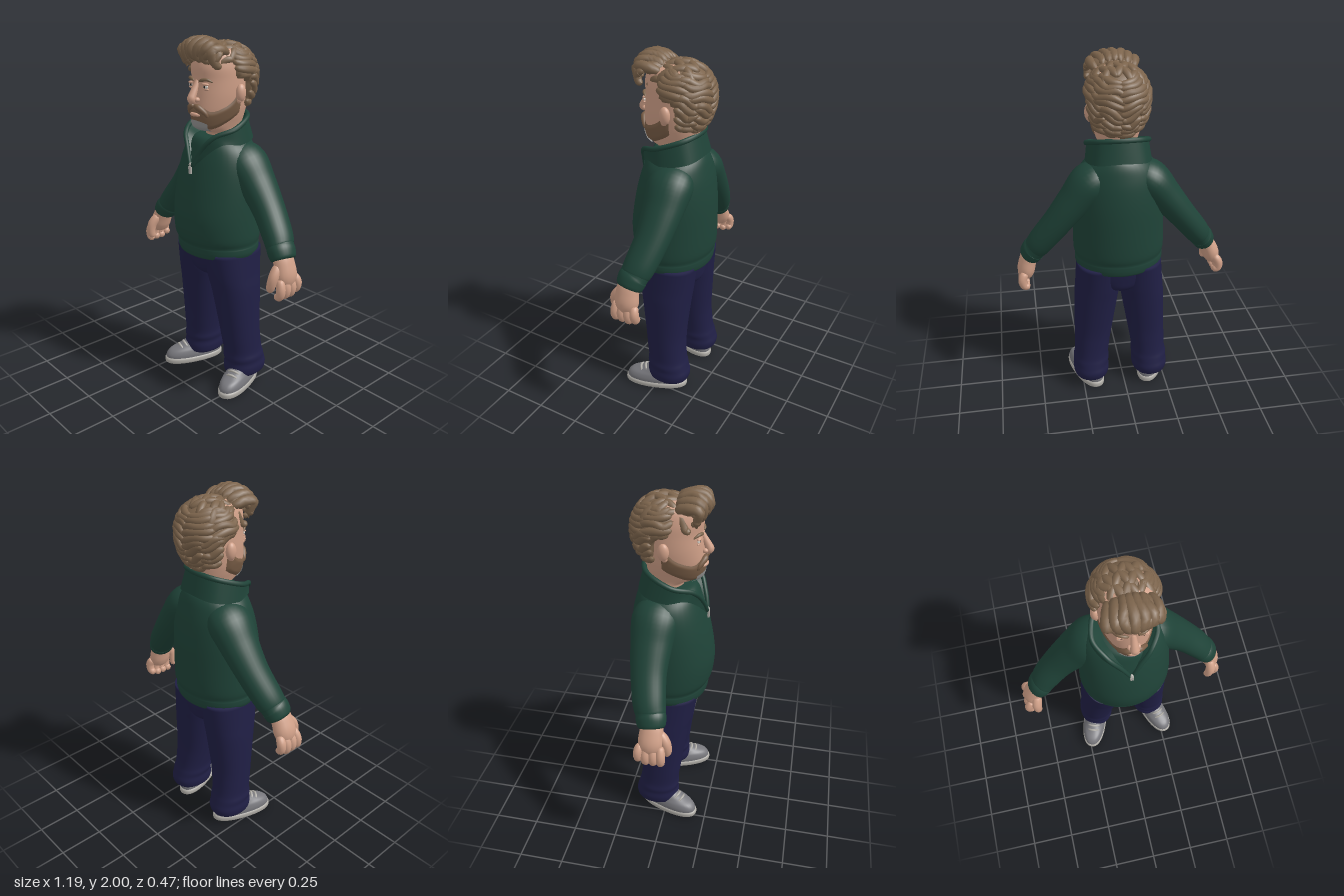
import * as THREE from 'three';

const mat = (name, color) => new THREE.MeshStandardMaterial({ name, color, side: THREE.DoubleSide });
const V = (x, y, z) => new THREE.Vector3(x, y, z);
const rad = THREE.MathUtils.degToRad;

// Smooth interpolation through rows of numbers, t in 0..1
function spline(rows, t) {
  const n = rows.length - 1, f = Math.min(Math.max(t, 0), 1) * n;
  const i = Math.min(Math.floor(f), n - 1), w = f - i;
  const [a, b, c, d] = [-1, 0, 1, 2].map(k => rows[Math.min(Math.max(i + k, 0), n)]);
  return b.map((p, k) => p + 0.5 * w * (c[k] - a[k] + w * (2 * a[k] - 5 * p + 4 * c[k] - d[k] + w * (3 * (p - c[k]) + d[k] - a[k]))));
}

// Smooth surface from fn(u, v) -> Vector3, optionally closed in u
function grid(nu, nv, fn, wrap = true) {
  const pos = [], idx = [], w = wrap ? nu : nu + 1;
  for (let j = 0; j <= nv; j++) for (let i = 0; i < w; i++) pos.push(...fn(i / nu, j / nv).toArray());
  for (let j = 0; j < nv; j++) for (let i = 0; i < nu; i++) {
    const a = j * w + i, b = j * w + (i + 1) % w;
    idx.push(a, b, b + w, a, b + w, a + w);
  }
  const g = new THREE.BufferGeometry();
  g.setAttribute('position', new THREE.Float32BufferAttribute(pos, 3));
  g.setIndex(idx);
  g.computeVertexNormals();
  return g;
}

// Stacked oval rings; row = [y, centreX, halfWidth, zFront, zBack]
function loft(rows, n = 40, power = 2) {
  const bend = c => Math.sign(c) * Math.abs(c) ** (2 / power);
  return grid(40, n + 2, (u, v) => {
    const k = v > 1e-6 && v < 1 - 1e-6 ? 1 : 0, a = u * Math.PI * 2;
    const [y, cx, rx, zf, zb] = spline(rows, (v * (n + 2) - 1) / n);
    return V(cx + k * rx * bend(Math.sin(a)), y, (zf + zb) / 2 + k * (zf - zb) / 2 * bend(Math.cos(a)));
  });
}

// Round limb or lock along points [x, y, z, radius]; flat scales the radius towards ref
function sweep(pts, { ref = V(0, 0, 1), flat = 1, round = 6, nu = 16, nv = 20 } = {}) {
  const at = t => V(...spline(pts, t));
  return grid(nu, nv, (u, v) => {
    const P = at(v), T = at(v + 0.01).sub(at(v - 0.01)).normalize();
    const N = ref.clone().addScaledVector(T, -ref.dot(T)).normalize(), B = T.clone().cross(N);
    const r = spline(pts, v)[3] * Math.sqrt(Math.max(0, 1 - Math.abs(2 * v - 1) ** round)), a = u * Math.PI * 2;
    return P.addScaledVector(N, r * flat * Math.cos(a)).addScaledVector(B, r * Math.sin(a));
  });
}

// Head profile: [y, halfWidth, zFront, zBack]
const HEAD = [[1.4, .088, .05, -.13], [1.5, .088, .065, -.13], [1.515, .09, .12, -.13], [1.535, .097, .15, -.14],
  [1.58, .113, .162, -.15], [1.63, .127, .165, -.16], [1.7, .136, .16, -.165], [1.78, .137, .153, -.165],
  [1.85, .134, .156, -.16], [1.92, .115, .13, -.14], [1.95, .06, .06, -.08]];
function headPoint(a, y, off = 0) {
  let i = 0;
  while (i < HEAD.length - 2 && HEAD[i + 1][0] < y) i++;
  const t = (i + (y - HEAD[i][0]) / (HEAD[i + 1][0] - HEAD[i][0])) / (HEAD.length - 1);
  const [, rx, zf, zb] = spline(HEAD, t), c = Math.cos(a);
  return V((rx + off) * Math.sin(a), y, -.02 + c * (c > 0 ? zf + .02 + off : -.02 - zb + off));
}

// Point on the hair dome
const HC = V(0, 1.79, -.045);
const domePoint = (a, lat) => V(.165 * Math.cos(lat) * Math.sin(a), (lat > 0 ? .165 : .22) * Math.sin(lat), .17 * Math.cos(lat) * Math.cos(a)).add(HC);

export function createModel() {
  const skin = mat('skin', 0xd0a088), hair = mat('hair', 0x7c644c), beard = mat('beard', 0x7a5e47);
  const grey = mat('grey beard', 0x969594), green = mat('sweater green', 0x1f4338), navy = mat('trouser navy', 0x201f45);
  const shoeGrey = mat('shoe grey', 0x77777c), pale = mat('pale grey', 0xb0ada7);
  const white = mat('eye white', 0xe4ded4), dark = mat('pupil dark', 0x2c2420);
  const root = new THREE.Group();
  root.name = 'man';
  const body = new THREE.Group();
  body.name = 'body';
  body.position.x = .018;
  root.add(body);
  const add = (parent, name, geo, m) => {
    const mesh = new THREE.Mesh(geo, m);
    mesh.name = name;
    parent.add(mesh);
    return mesh;
  };
  const ball = (parent, name, m, p, s) => {
    const b = add(parent, name, new THREE.SphereGeometry(1, 20, 14), m);
    b.position.set(...p);
    b.scale.set(...s);
    return b;
  };

  // Sweater body with hem band
  add(body, 'sweater', loft([[.81, 0, .215, .17, -.185], [.815, 0, .238, .196, -.208], [.84, 0, .25, .204, -.216], [.868, 0, .251, .206, -.218],
    [.885, 0, .249, .207, -.218], [.93, 0, .257, .226, -.228], [1.05, 0, .256, .235, -.231], [1.2, 0, .25, .212, -.228],
    [1.32, 0, .237, .182, -.215], [1.4, 0, .212, .156, -.197], [1.45, 0, .172, .137, -.18], [1.475, 0, .13, .11, -.16], [1.48, 0, .08, .06, -.12]], 60), green);

  // Open flared collar
  const around = half => [...half, ...half.slice(0, -1).reverse().map(([x, y, z, r]) => [-x, y, z, r])];
  const rim = around([[.004, 1.32, .19, .011], [.05, 1.41, .168, .012], [.115, 1.49, .125, .013], [.168, 1.53, .02, .014], [.12, 1.578, -.11, .014], [0, 1.592, -.15, .014]]);
  const base = around([[.012, 1.31, .18], [.08, 1.39, .15], [.15, 1.45, .09], [.18, 1.44, -.02], [.13, 1.46, -.145], [0, 1.475, -.18]]);
  const inner = around([[.004, 1.32, .165], [.035, 1.4, .135], [.07, 1.46, .09], [.1, 1.465, -.02], [.09, 1.5, -.1], [0, 1.51, -.12]]);
  const strip = (p, q) => grid(6, 60, (u, v) => V(...spline(p, v)).lerp(V(...spline(q, v)), u), false);
  add(body, 'collarOutside', strip(base, rim), green);
  add(body, 'collarInside', strip(rim, inner), green);
  add(body, 'collarEdge', sweep(rim, { ref: V(0, 1, 0), round: 40, nu: 10, nv: 70 }), green);
  const zip = add(body, 'zipPull', new THREE.BoxGeometry(.018, .04, .012), pale);
  zip.position.set(0, 1.305, .194);
  ball(body, 'zipSlider', pale, [0, 1.335, .19], [.012, .012, .01]);

  // Trouser seat
  add(body, 'trouserSeat', loft([[.66, 0, .04, .06, -.11], [.7, 0, .14, .125, -.165], [.76, 0, .225, .152, -.18], [.85, 0, .242, .168, -.19]], 20), navy);

  for (const s of [1, -1]) {
    const side = s > 0 ? 'left' : 'right';
    // Sleeve with cuff
    const arm = [[.09, 1.375, -.055, .085], [.165, 1.335, -.06, .105], [.25, 1.235, -.065, .092], [.345, 1.115, -.06, .079], [.43, 1.005, -.04, .073],
      [.462, .96, -.027, .068], [.472, .947, -.024, .065], [.485, .93, -.018, .067], [.512, .885, -.01, .06]];
    add(body, side + 'Sleeve', sweep(arm.map(([x, ...p]) => [s * x, ...p]), { flat: 1.22, round: 40, nu: 28, nv: 48 }), green);

    // Hand, built around the wrist
    const hand = new THREE.Group();
    hand.name = side + 'Hand';
    hand.position.set(s * .51, .9, -.01);
    hand.rotation.z = -.1;
    body.add(hand);
    const limb = (name, pts, o) => add(hand, name, sweep(pts.map(([x, y, z, r]) => [s * (x - .51), y - .9, z + .01, r]), o), skin);
    limb('palm', [[.495, .925, -.01, .044], [.52, .87, -.008, .048], [.54, .81, -.008, .05], [.548, .755, -.005, .036]], { flat: 1.35, round: 8 });
    for (let k = 0; k < 4; k++) {
      const z = .045 - k * .035, e = k === 3 ? .015 : 0;
      limb('finger', [[.548, .81, z, .024], [.57, .755 + e, z * 1.15, .025], [.565, .715 + e, z * 1.15, .023], [.535, .705 + e, z * 1.1, .02]]);
    }
    limb('thumb', [[.515, .875, .03, .028], [.525, .82, .068, .028], [.522, .77, .078, .025], [.512, .73, .072, .021]]);

    // Trouser leg with gathered bottom
    const leg = [[.065, .18, .085, .05, -.165], [.08, .18, .102, .066, -.18], [.115, .18, .107, .071, -.187], [.15, .179, .103, .066, -.178],
      [.18, .177, .106, .07, -.17], [.22, .174, .101, .068, -.16], [.3, .167, .105, .078, -.152], [.4, .157, .112, .09, -.15],
      [.6, .137, .126, .12, -.165], [.7, .124, .13, .142, -.175], [.84, .115, .128, .163, -.188]];
    add(body, side + 'TrouserLeg', loft(leg.map(([y, x, ...p]) => [y, s * x, ...p]), 50, 2.2), navy);

    // Shoe turned outwards
    const shoe = new THREE.Group();
    shoe.name = side + 'Shoe';
    shoe.position.set(s * .203, 0, .01);
    shoe.rotation.y = s * rad(19);
    body.add(shoe);
    add(shoe, 'sole', loft([[0, 0, .069, .184, -.172], [.008, 0, .076, .193, -.18], [.028, 0, .077, .194, -.18], [.038, 0, .071, .186, -.174]], 10, 2.3), pale);
    add(shoe, 'upper', loft([[.03, 0, .071, .186, -.172], [.055, 0, .072, .183, -.172], [.08, 0, .066, .16, -.165], [.1, 0, .057, .11, -.155],
      [.125, 0, .05, .055, -.145], [.15, 0, .045, .03, -.13]], 24, 2.3), shoeGrey);
    for (let k = 0; k < 3; k++) {
      const z = .1 - k * .028, y = .107 + k * .012;
      add(shoe, 'lace', sweep([[-.04, y - .02, z - .012, .006], [-.012, y, z, .007], [.015, y, z, .007], [.042, y - .02, z - .012, .006]], { nu: 8, nv: 10 }), pale);
    }
  }

  // Head and neck
  const head = new THREE.Group();
  head.name = 'head';
  head.position.x = .01;
  body.add(head);
  add(head, 'face', grid(48, 50, (u, v) => headPoint(u * Math.PI * 2, 1.4 + .55 * v)), skin);
  add(head, 'nose', sweep([[0, 1.785, .14, .014], [0, 1.75, .156, .016], [0, 1.705, .18, .021], [0, 1.683, .187, .023], [0, 1.67, .165, .018]]), skin);

  // Beard laid over the jaw, bounded above and below by angle
  const beardTop = [[1.655], [1.648], [1.625], [1.64], [1.68], [1.77]];
  const beardLow = [[1.512], [1.514], [1.52], [1.535], [1.565], [1.6]];
  add(head, 'beard', grid(60, 16, (u, v) => {
    const k = Math.abs(2 * u - 1), lo = spline(beardLow, k)[0], hi = spline(beardTop, k)[0];
    const edge = Math.min(1, 5 * Math.min(v, 1 - v), 8 * (1 - k));
    return headPoint((2 * u - 1) * rad(100), lo + (hi - lo) * v, -.002 + .01 * edge);
  }, false), beard);
  add(head, 'chinPatch', grid(16, 8, (u, v) => {
    const k = Math.abs(2 * u - 1);
    return headPoint((2 * u - 1) * rad(34), 1.513 + (.062 - .02 * k * k) * v, .012);
  }, false), grey);
  add(head, 'lowerLip', sweep([[-.042, 1.6, .152, .007], [-.015, 1.604, .172, .01], [.015, 1.604, .172, .01], [.042, 1.6, .152, .007]], { round: 4 }), skin);

  for (const s of [1, -1]) {
    add(head, 'moustache', sweep([[s * .002, 1.65, .172, .013], [s * .03, 1.642, .168, .017], [s * .06, 1.615, .148, .013], [s * .07, 1.59, .138, .008]], { round: 4 }), beard);
    ball(head, 'nostril', skin, [s * .02, 1.682, .167], [.014, .013, .016]);
    const e = headPoint(s * rad(23), 1.75);
    ball(head, 'eye', white, [e.x, e.y, e.z - .002], [.021, .012, .008]);
    ball(head, 'pupil', dark, [e.x, e.y, e.z + .004], [.007, .008, .004]);
    ball(head, 'eyelid', skin, [e.x, e.y + .011, e.z - .001], [.025, .008, .012]);
    ball(head, 'eyeBag', skin, [e.x, e.y - .014, e.z - .003], [.024, .007, .009]);
    add(head, 'eyebrow', sweep([[s * .02, 1.776, .153, .007], [s * .045, 1.784, .15, .009], [s * .07, 1.785, .138, .008], [s * .09, 1.772, .118, .005]], { round: 4 }), hair);
    ball(head, 'ear', skin, [s * .145, 1.712, -.025], [.024, .047, .03]);
    ball(head, 'earLobe', skin, [s * .14, 1.675, -.018], [.016, .018, .016]);
  }

  // Hair dome, tucked under the face in front of the hairline
  const step = THREE.MathUtils.smoothstep;
  add(head, 'hairDome', grid(48, 36, (u, v) => {
    const p = domePoint(u * Math.PI * 2, (v - .5) * Math.PI);
    const line = -.045 + .095 * step(p.y, 1.76, 1.8) + .2 * step(p.y, 1.86, 1.9);
    return p.sub(HC).multiplyScalar(1 - .35 * step(p.z, line, line + .025)).add(HC);
  }), hair);
  ball(head, 'fringeBase', hair, [0, 1.925, .09], [.125, .05, .085]);

  let seed = 7;
  const jit = k => { seed = (seed * 16807) % 2147483647; return (seed / 2147483647 * 2 - 1) * k; };
  const lock = (pts, round = 3) => {
    const m = pts[Math.floor(pts.length / 2)];
    add(head, 'hairLock', sweep(pts, { ref: V(m[0], m[1] - HC.y, m[2] - HC.z).normalize(), flat: .85, round, nu: 10, nv: 16 }), hair);
  };
  // Locks combed back along the sides
  for (const s of [1, -1]) for (let i = 0; i < 10; i++) {
    const lat = 60 - i * 10.5, start = lat > 8 ? 58 + i * 2 : 103, span = 182 - start;
    for (let k = 0; k < 2; k++) {
      const a0 = start + k * span * .45, lat0 = lat - k * 8 + jit(3), w = jit(3) + 3;
      lock([0, 1, 2, 3, 4].map(q => {
        const p = domePoint(s * rad(a0 + q / 4 * span * .58), rad(lat0 - q * 3 + w * Math.sin(q * 1.9 + i)));
        return [p.x, p.y, p.z, .023 - .001 * q];
      }));
    }
  }
  // Interleaved clumps over the crown
  for (let c = -3; c <= 3; c++) for (let k = 0; k < 4; k++) {
    const lean = (k + c) % 2 ? .022 : -.022, z0 = .1 - k * .058 + jit(.01);
    lock([0, 1, 2, 3].map(q => {
      const x = c * .034 + lean * (q / 1.5 - 1), z = z0 - q * .027;
      const h = Math.max(.05, 1 - (x / .165) ** 2 - ((z - HC.z) / .17) ** 2);
      return [x, HC.y + .163 * Math.sqrt(h), z, .022];
    }));
  }
  // Curled fringe rolling over the forehead
  for (let c = -3; c <= 3; c++) {
    const d = c * c * .0045, x = c * .039, b = jit(.012), f = jit(.008);
    lock([[x * .8, 1.955 - d, .02, .024], [x + b, 1.978 - d, .09, .027], [x - b, 1.972 - d, .15, .027],
      [x + b, 1.935 - d, .183 - d + f * .5, .026], [x + b + .012, 1.896 - d + f, .17 - d, .022], [x + .025, 1.9 - d, .145 - d, .014]], 8);
    lock([[x + .02, 1.95 - d, .1, .02], [x + .02 - b, 1.955 - d, .16 - d, .022], [x + .01, 1.925 - d, .182 - d, .02], [x - .012, 1.905 - d + f, .172 - d, .016]], 4);
  }
  return root;
}
